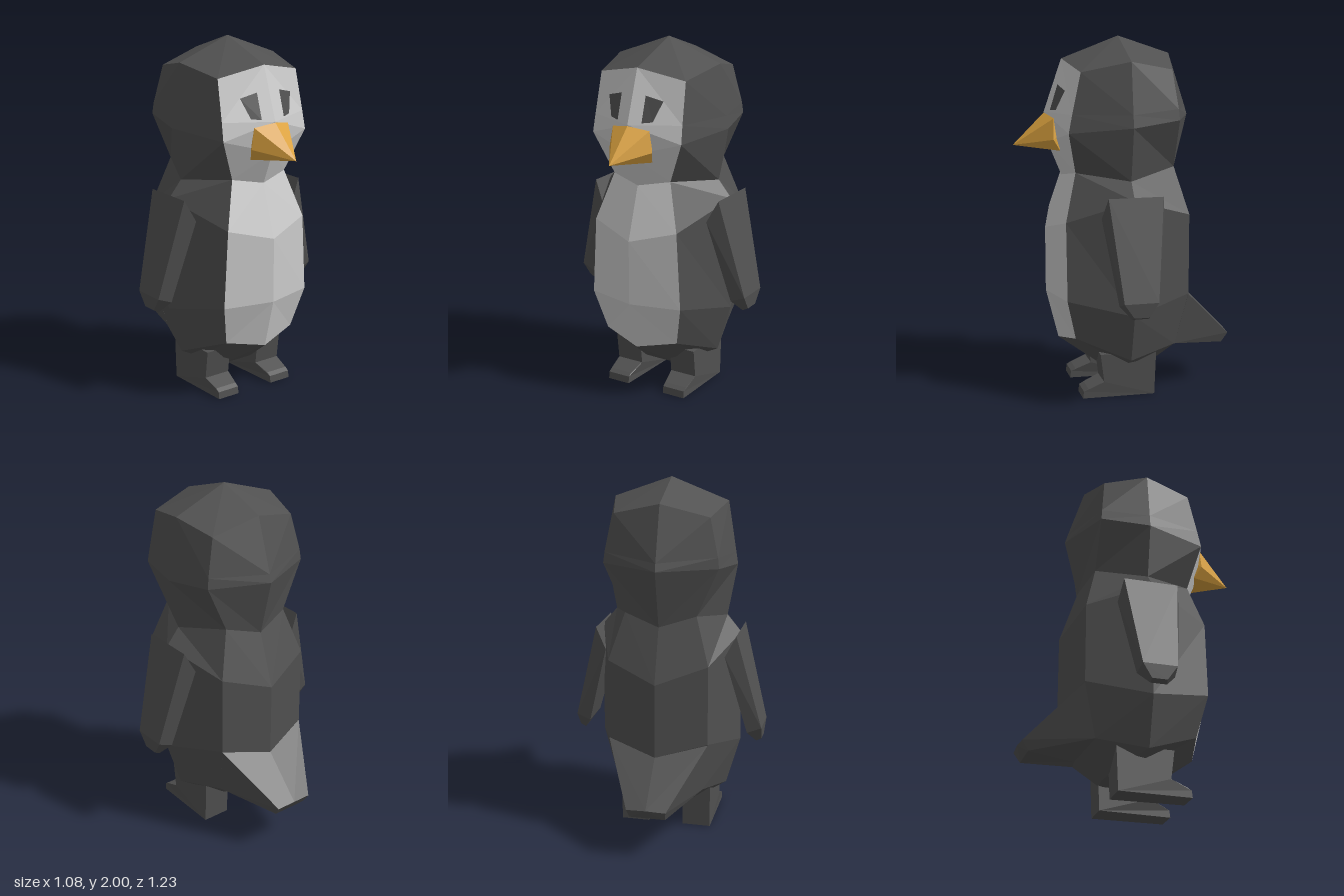
import * as THREE from 'three';
import { ConvexGeometry } from 'three/addons/geometries/ConvexGeometry.js';

const paint = (color) => new THREE.MeshStandardMaterial({ color, flatShading: true });
const dark = paint(0x505050);
const light = paint(0xcccccc);
const orange = paint(0xdba23f);

// Half cross-sections from crown to underside:
// front centre, front corner, side, back corner, back centre
const RINGS = [
  [[0, 2, 0.02], [0, 2, 0.02], [0, 2, 0.02], [0, 2, 0.02], [0, 2, 0.02]],
  [[0, 1.88, 0.34], [0.265, 1.825, 0.285], [0.32, 1.88, 0.02], [0.265, 1.83, -0.22], [0, 1.9, -0.27]],
  [[0, 1.59, 0.44], [0.275, 1.6, 0.335], [0.364, 1.6, 0.02], [0.313, 1.62, -0.245], [0, 1.6, -0.367]],
  [[0, 1.42, 0.42], [0.28, 1.5, 0.355], [0.375, 1.53, 0.02], [0.32, 1.56, -0.25], [0, 1.555, -0.38]],
  [[0, 1.235, 0.345], [0.18, 1.27, 0.3], [0.32, 1.235, 0.02], [0.2, 1.29, -0.25], [0, 1.23, -0.3]],
  [[0, 0.94, 0.44], [0.26, 1.01, 0.37], [0.4, 1.14, 0.02], [0.28, 1.03, -0.32], [0, 0.93, -0.4]],
  [[0, 0.575, 0.44], [0.285, 0.575, 0.37], [0.405, 0.5, 0.02], [0.28, 0.58, -0.32], [0, 0.51, -0.4]],
  [[0, 0.295, 0.37], [0.23, 0.345, 0.315], [0.325, 0.225, 0.02], [0.24, 0.28, -0.25], [0, 0.26, -0.3]],
  [[0, 0.13, 0.13], [0.1, 0.12, 0.11], [0.2, 0.16, 0.02], [0.12, 0.14, -0.13], [0, 0.13, -0.15]],
  [[0, 0.1, 0], [0, 0.1, 0], [0, 0.1, 0], [0, 0.1, 0], [0, 0.1, 0]],
];

const mirror = ([x, y, z]) => [-x, y, z];
const fullRing = (half) => [...half, ...half.slice(1, 4).reverse().map(mirror)];

// Skin between the rings, keeping the faces for which pick(row, column) holds
function skin(pick) {
  const rings = RINGS.map(fullRing);
  const pos = [];
  for (let i = 0; i < rings.length - 1; i++) {
    for (let j = 0; j < 8; j++) {
      if (!pick(i, j)) continue;
      const k = (j + 1) % 8;
      const a = rings[i][j], b = rings[i][k], c = rings[i + 1][j], d = rings[i + 1][k];
      const tris = j < 4 ? [[a, c, d], [a, d, b]] : [[a, c, b], [b, c, d]];
      for (const t of tris) {
        const [p, q, r] = t.map((v) => new THREE.Vector3(...v));
        if (q.sub(p).cross(r.sub(p)).length() > 1e-6) pos.push(...t.flat());
      }
    }
  }
  const geo = new THREE.BufferGeometry();
  geo.setAttribute('position', new THREE.Float32BufferAttribute(pos, 3));
  geo.computeVertexNormals();
  return geo;
}

const hull = (points) => new ConvexGeometry(points.map((p) => new THREE.Vector3(...p)));
const bothSides = (points) => [...points, ...points.map(mirror)];

export function createModel() {
  const model = new THREE.Group();
  const add = (name, geo, mat) => {
    const mesh = new THREE.Mesh(geo, mat);
    mesh.name = name;
    model.add(mesh);
    return mesh;
  };

  // Head and body share one skin; the face and belly are its light front panels
  const isFront = (j) => j === 0 || j === 7;
  const isFace = (i, j) => isFront(j) && i >= 1 && i <= 3;
  const isBelly = (i, j) => isFront(j) && i >= 4 && i <= 6;
  add('headAndBody', skin((i, j) => !isFace(i, j) && !isBelly(i, j)), dark);
  add('face', skin(isFace), light);
  add('belly', skin(isBelly), light);

  // Beak
  add('beak', hull([
    [0, 1.41, 0.615], [0, 1.585, 0.44],
    ...bothSides([[0.115, 1.565, 0.405], [0.135, 1.45, 0.41], [0.11, 1.385, 0.37], [0.09, 1.5, 0.34]]),
  ]), orange);

  // Tail wedge
  add('tail', hull([
    [0, 0.51, -0.4], [0, 0.285, -0.615], [0, 0.225, -0.3],
    ...bothSides([[0.28, 0.575, -0.32], [0.11, 0.28, -0.61], [0.1, 0.225, -0.575], [0.24, 0.28, -0.25]]),
  ]), dark);

  for (const s of [1, -1]) {
    const side = s > 0 ? 'left' : 'right';

    // Flipper hanging outward from the shoulder
    add(side + 'Arm', hull([
      [0.4, 1.16, 0.165], [0.4, 1.16, -0.14], [0.34, 1.04, 0.19], [0.34, 1.04, -0.16],
      [0.54, 0.61, 0.11], [0.54, 0.61, -0.08], [0.535, 0.53, 0.055], [0.535, 0.53, -0.03],
      [0.46, 0.58, 0.12], [0.46, 0.58, -0.09], [0.505, 0.515, 0.06], [0.505, 0.515, -0.03],
    ].map(([x, y, z]) => [s * x, y, z])), dark);

    // Leg and foot: side profile extruded across, toe narrowed
    const profile = [[-0.14, 0.25], [-0.13, 0], [0.28, 0], [0.275, 0.04], [0.25, 0.055], [0.16, 0.09], [0.18, 0.25]];
    const shape = new THREE.Shape(profile.map(([z, y]) => new THREE.Vector2(-z, y)));
    const leg = new THREE.ExtrudeGeometry(shape, { depth: 0.16, bevelEnabled: false });
    leg.rotateY(Math.PI / 2).translate(s * 0.18 - 0.08, 0, 0);
    const p = leg.attributes.position;
    for (let i = 0; i < p.count; i++) {
      if (p.getZ(i) > 0.2) p.setX(i, s * 0.185 + (p.getX(i) - s * 0.18) * 0.85);
    }
    leg.computeVertexNormals();
    add(side + 'Leg', leg, dark);

    // Eye: a thin patch lying on the face
    const corners = [[0.075, 1.745], [0.075, 1.605], [0.13, 1.612], [0.17, 1.72]];
    const eye = new THREE.ShapeGeometry(new THREE.Shape(corners.map(([x, y]) => new THREE.Vector2(s * x, y))));
    const e = eye.attributes.position;
    for (let i = 0; i < e.count; i++) {
      const y = e.getY(i);
      const centre = 0.34 + 0.345 * (1.88 - y);
      const edge = 0.285 + 0.22 * (1.83 - y);
      e.setZ(i, THREE.MathUtils.lerp(centre, edge, Math.abs(e.getX(i)) / 0.27) + 0.012);
    }
    eye.computeVertexNormals();
    add(side + 'Eye', eye, dark);
  }
  return model;
}
